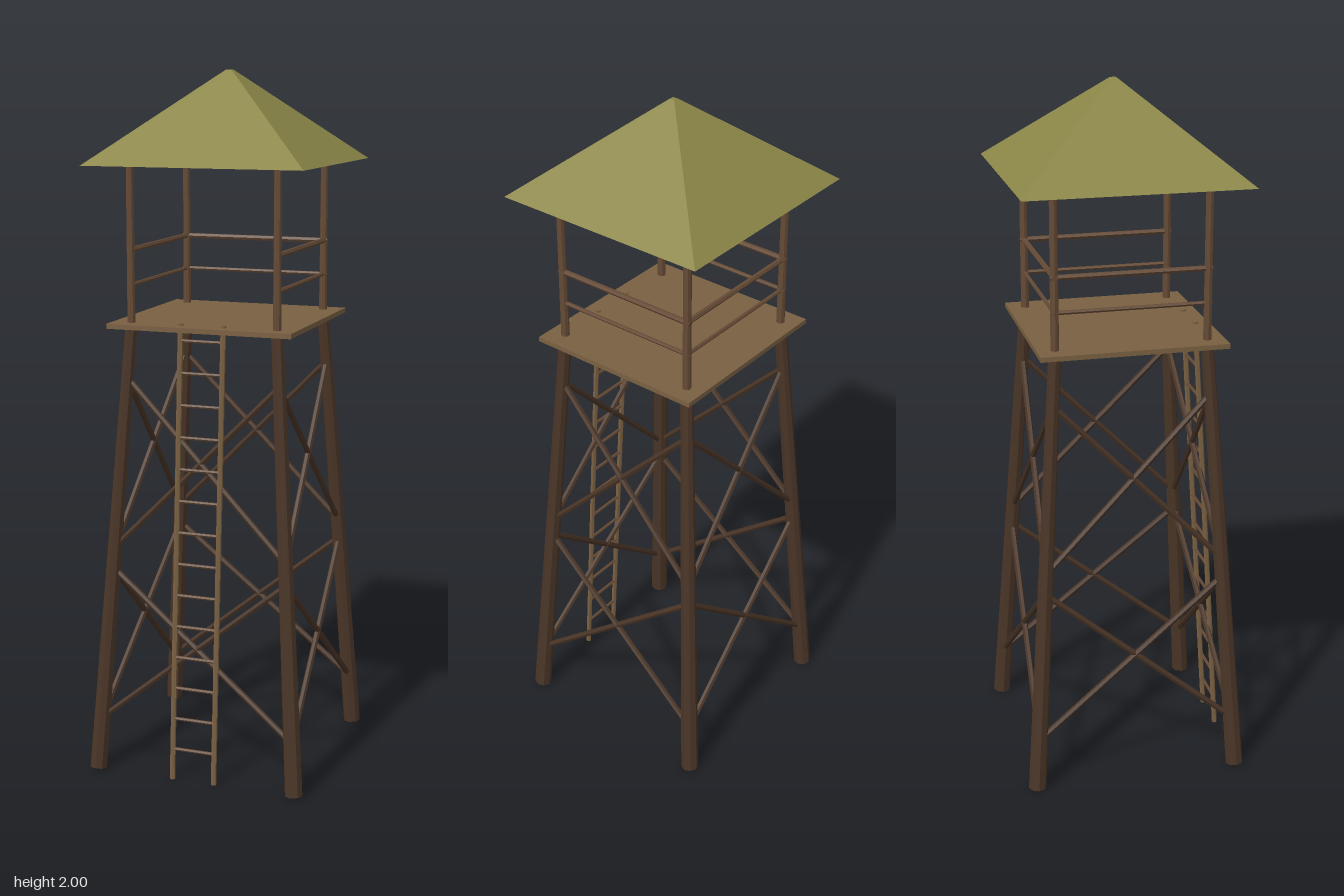
import * as THREE from 'three';

const mat = (name, color) => {
  const m = new THREE.MeshStandardMaterial({ color, flatShading: true });
  m.name = name;
  return m;
};

export function createModel() {
  const tower = new THREE.Group();
  tower.name = 'watchtower';
  const darkWood = mat('dark wood', 0x4a3527);
  const midWood = mat('mid wood', 0x654a35);
  const plankWood = mat('plank wood', 0x7a6042);
  const thatch = mat('olive roof', 0x8b8647);

  // Round pole from point a to point b
  const pole = (name, a, b, rA, rB, sides, material, parent = tower) => {
    const start = new THREE.Vector3(...a), end = new THREE.Vector3(...b);
    const dir = end.clone().sub(start);
    const mesh = new THREE.Mesh(new THREE.CylinderGeometry(rB, rA, dir.length(), sides), material);
    mesh.position.copy(start).add(end).multiplyScalar(0.5);
    mesh.quaternion.setFromUnitVectors(new THREE.Vector3(0, 1, 0), dir.normalize());
    mesh.name = name;
    parent.add(mesh);
  };

  const deckY = 1.3, postX = 0.215;
  const legX = (y) => 0.3 - (0.3 - postX) * (y / deckY);

  // Splayed legs and upright roof posts
  for (const sx of [-1, 1]) for (const sz of [-1, 1]) {
    pole('leg', [sx * 0.3, 0, sz * 0.3], [sx * postX, deckY, sz * postX], 0.026, 0.018, 8, darkWood);
    pole('roofPost', [sx * postX, deckY, sz * postX], [sx * postX, 1.76, sz * postX], 0.012, 0.011, 8, midWood);
  }

  // Crossed braces on four sides, railings on all but the front
  for (let i = 0; i < 4; i++) {
    const side = new THREE.Group();
    side.name = 'side';
    side.rotation.y = i * Math.PI / 2;
    tower.add(side);
    for (const [low, high] of [[0.15, 0.6], [0.66, 1.15]]) {
      for (const s of [-1, 1]) {
        pole('brace', [-s * legX(low), low, legX(low)], [s * legX(high), high, legX(high)],
          0.009, 0.009, 6, darkWood, side);
      }
    }
    if (i > 0) {
      pole('upperRail', [-0.226, 1.51, postX], [0.226, 1.51, postX], 0.008, 0.008, 6, midWood, side);
      pole('lowerRail', [-0.226, 1.412, postX], [0.226, 1.412, postX], 0.006, 0.006, 6, midWood, side);
    }
  }

  // Deck
  const deck = new THREE.Mesh(new THREE.BoxGeometry(0.54, 0.014, 0.53), plankWood);
  deck.position.y = deckY;
  deck.name = 'deck';
  tower.add(deck);

  // Leaning ladder
  const ladder = new THREE.Group();
  ladder.name = 'ladder';
  tower.add(ladder);
  const ladderZ = (y) => 0.31 - 0.085 * (y / 1.313);
  for (const s of [-1, 1]) {
    pole('ladderRail', [s * 0.063, 0, ladderZ(0)], [s * 0.063, 1.313, ladderZ(1.313)],
      0.008, 0.008, 6, plankWood, ladder);
  }
  for (let i = 0; i < 14; i++) {
    const y = 0.09 + i * 0.0904;
    pole('rung', [-0.063, y, ladderZ(y)], [0.063, y, ladderZ(y)], 0.005, 0.005, 6, midWood, ladder);
  }

  // Four-sided roof with a tiny flat tip
  const roofGeometry = new THREE.CylinderGeometry(0.008 * Math.SQRT2, 0.318 * Math.SQRT2, 0.255, 4);
  roofGeometry.rotateY(Math.PI / 4);
  const roof = new THREE.Mesh(roofGeometry, thatch);
  roof.position.y = 1.8725;
  roof.name = 'roof';
  tower.add(roof);

  return tower;
}
